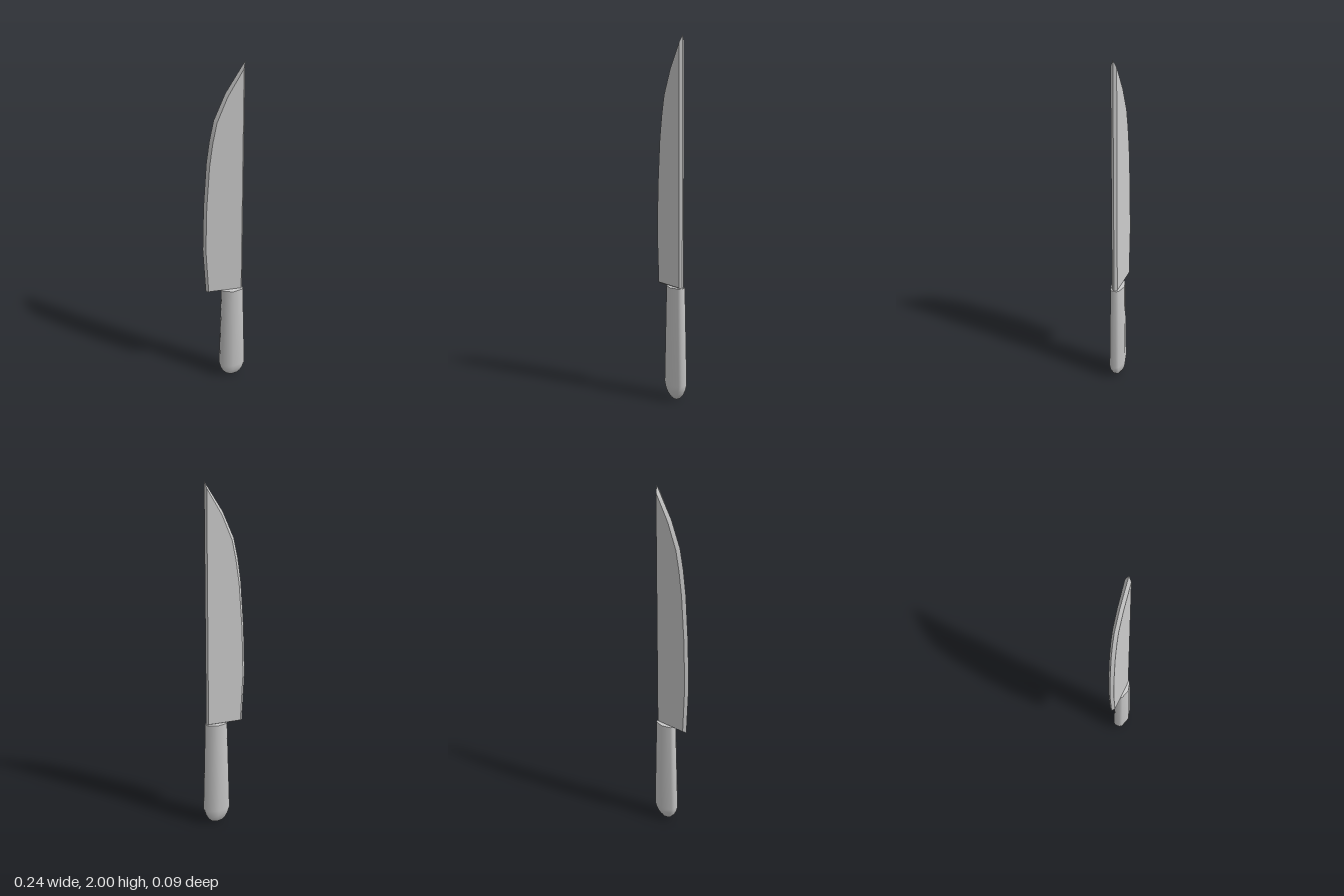
import * as THREE from 'three';
import { toCreasedNormals } from 'three/addons/utils/BufferGeometryUtils.js';

// Skin closed rings of [x, y, z] points and cap both ends.
// Rings run counter-clockwise when seen from the last ring's outer side.
function loft(rings, crease) {
  const n = rings[0].length;
  const points = rings.flat();
  const index = [];
  for (let r = 0; r < rings.length - 1; r++) {
    for (let i = 0; i < n; i++) {
      const j = (i + 1) % n;
      const a = r * n + i, b = r * n + j;
      index.push(a, b, b + n, a, b + n, a + n);
    }
  }
  const addCap = (r, flip) => {
    const ring = rings[r];
    const centre = points.length;
    points.push([0, 1, 2].map((k) => ring.reduce((sum, p) => sum + p[k], 0) / n));
    for (let i = 0; i < n; i++) {
      const a = r * n + i, b = r * n + (i + 1) % n;
      index.push(centre, flip ? b : a, flip ? a : b);
    }
  };
  addCap(0, true);
  addCap(rings.length - 1, false);
  const geometry = new THREE.BufferGeometry();
  geometry.setAttribute('position', new THREE.Float32BufferAttribute(points.flat(), 3));
  geometry.setIndex(index);
  return toCreasedNormals(geometry, crease);
}

export function createModel() {
  const group = new THREE.Group();
  const material = new THREE.MeshStandardMaterial({ color: 0xcccccc });
  const add = (name, geometry) => {
    const mesh = new THREE.Mesh(geometry, material);
    mesh.name = name;
    group.add(mesh);
  };

  // Blade: a sharp outline at z = 0 and a smaller flat face on each side
  const outline = [
    [0.104, 0.64], [0.104, 2.0], [0.005, 1.84], [-0.055, 1.7], [-0.078, 1.59],
    [-0.096, 1.46], [-0.114, 1.2], [-0.122, 0.93], [-0.108, 0.64],
  ];
  const face = [
    [0.095, 0.65], [0.095, 1.965], [0.014, 1.825], [-0.041, 1.69], [-0.063, 1.58],
    [-0.081, 1.45], [-0.099, 1.2], [-0.107, 0.93], [-0.094, 0.65],
  ];
  const atDepth = (shape, z) => shape.map(([x, y]) => [x, y, z]);
  add('blade', loft([atDepth(face, -0.016), atDepth(outline, 0), atDepth(face, 0.016)], 0.3));

  // Handle: a faceted oval section, mirrored both ways, tapering up from a domed end
  const quarter = [[1, 0.3], [0.86, 0.62], [0, 1]];
  const section = [
    ...quarter,
    ...quarter.slice(0, 2).reverse().map(([x, z]) => [-x, z]),
  ];
  const fullSection = [
    ...section,
    ...section.filter(([x]) => x !== 0).map(([x, z]) => [-x, -z]),
  ];
  fullSection.splice(7, 0, [0, -1]);
  const levels = [ // height, half width, half depth
    [0.002, 0.016, 0.01], [0.012, 0.035, 0.022], [0.032, 0.053, 0.033],
    [0.06, 0.067, 0.042], [0.092, 0.076, 0.046], [0.645, 0.061, 0.039],
  ];
  add('handle', loft(levels.map(([y, w, d]) =>
    fullSection.map(([x, z]) => [0.045 + x * w, y, -z * d])), 1.0));

  // Stand the knife on the ground
  group.position.y = -0.002;
  return group;
}
